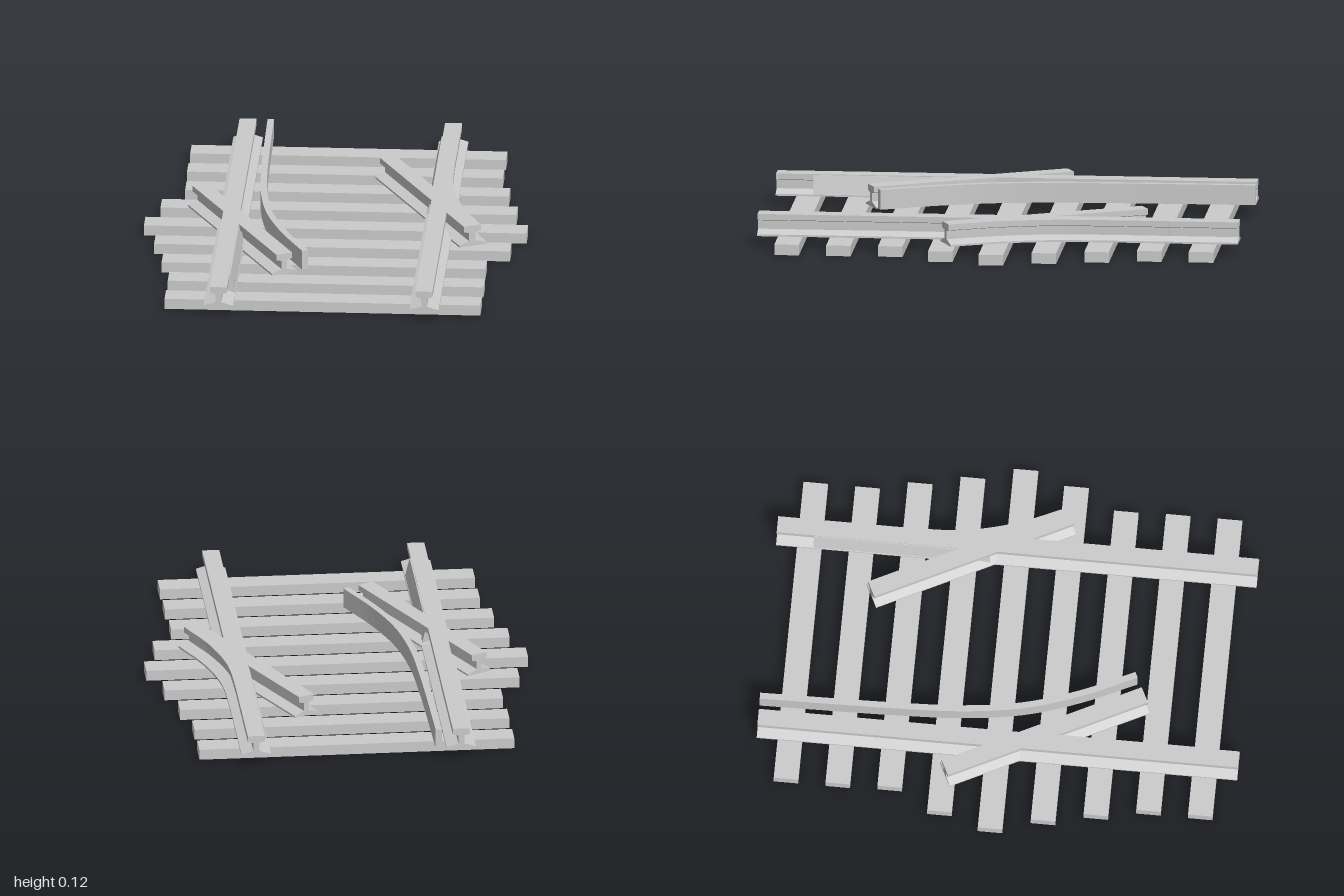
import * as THREE from 'three';

const material = new THREE.MeshStandardMaterial({ color: 0xcccccc, flatShading: true, side: THREE.DoubleSide });
const ANGLE = Math.atan(0.5);        // skew of the main track from the z axis
const GAUGE = 0.384;                 // half the distance between rail centres
const TIE_TOP = 0.04;

// Point on the ground from distance along and across the main track
function trackPoint(along, across) {
  const s = Math.sin(ANGLE), c = Math.cos(ANGLE);
  return new THREE.Vector3(along * s + across * c, 0, -along * c + across * s);
}

// Symmetrical rail section: sloping foot, thin web, flat head
function railShape(foot) {
  const half = [[foot / 2, TIE_TOP], [foot / 2, 0.047], [0.011, 0.06], [0.011, 0.092], [0.032, 0.098], [0.032, 0.12]];
  const other = half.map(([x, y]) => [-x, y]).reverse();
  return new THREE.Shape([...half, ...other].map(([x, y]) => new THREE.Vector2(x, y)));
}

function polygon(points) {
  return new THREE.Shape(points.map(([x, y]) => new THREE.Vector2(x, y)));
}

// Extrude a section, then lay its length along a ground path
function sweep(name, shape, path, steps = 1) {
  const geometry = new THREE.ExtrudeGeometry(shape, { depth: 1, steps, bevelEnabled: false });
  const pos = geometry.attributes.position;
  for (let i = 0; i < pos.count; i++) {
    const t = THREE.MathUtils.clamp(pos.getZ(i), 0, 1);
    const p = path.getPoint(t), d = path.getTangent(t), x = pos.getX(i);
    pos.setXYZ(i, p.x + d.z * x, pos.getY(i), p.z - d.x * x);
  }
  geometry.computeVertexNormals();
  const mesh = new THREE.Mesh(geometry, material);
  mesh.name = name;
  return mesh;
}

const groundCurve = (points) =>
  new THREE.CatmullRomCurve3(points.map(([x, z]) => new THREE.Vector3(x, 0, z)));

// One straight rail of each track, with the filler beside the main rail
function railSide(name) {
  const side = new THREE.Group();
  side.name = name;
  const main = new THREE.LineCurve3(trackPoint(0.9, -GAUGE), trackPoint(-0.9, -GAUGE));
  side.add(sweep('mainRail', railShape(0.11), main));
  const crossing = new THREE.LineCurve3(new THREE.Vector3(-0.38, 0, -0.4), new THREE.Vector3(-0.38, 0, 0.4));
  side.add(sweep('crossingRail', railShape(0.1), crossing));
  const filler = polygon([[0.005, 0.045], [0.053, 0.047], [0.036, 0.117], [0.005, 0.117]]);
  const fillerPath = new THREE.LineCurve3(trackPoint(-0.1, -GAUGE), trackPoint(-0.76, -GAUGE));
  side.add(sweep('railFiller', filler, fillerPath));
  return side;
}

export function createModel() {
  const model = new THREE.Group();
  model.name = 'trackCrossing';

  // Ties, longest in the middle
  const ties = new THREE.Group();
  ties.name = 'ties';
  const lengths = [1.43, 1.33, 1.21, 1.18, 1.18];
  for (let i = -4; i <= 4; i++) {
    const tie = new THREE.Mesh(new THREE.BoxGeometry(lengths[Math.abs(i)], TIE_TOP, 0.092), material);
    const shift = Math.abs(i) === 2 ? Math.sign(i) * 0.02 : 0;
    tie.position.copy(trackPoint(i * 0.194, shift)).setY(TIE_TOP / 2);
    tie.rotation.y = -ANGLE;
    tie.name = 'tie';
    ties.add(tie);
  }
  model.add(ties);

  // Straight rails: the second side is the first turned half a circle
  const right = railSide('rightRails');
  const left = railSide('leftRails');
  left.rotation.y = Math.PI;
  model.add(right, left);

  // Thin curved blade joining the two tracks
  const bladeShape = polygon([[-0.012, 0.045], [0.012, 0.045], [0.012, 0.12], [-0.012, 0.12]]);
  const bladePath = groundCurve([[-0.295, 0.4], [-0.288, 0.18], [-0.257, -0.03], [-0.19, -0.24], [-0.085, -0.48], [0.135, -0.94]]);
  model.add(sweep('curvedBlade', bladeShape, bladePath, 24));

  // Curved outer rail, merging into the main rail
  const outerPath = groundCurve([[0.385, 0.4], [0.397, 0.2], [0.442, 0], [0.53, -0.2], [0.63, -0.4]]);
  model.add(sweep('curvedOuterRail', railShape(0.11), outerPath, 20));

  return model;
}
